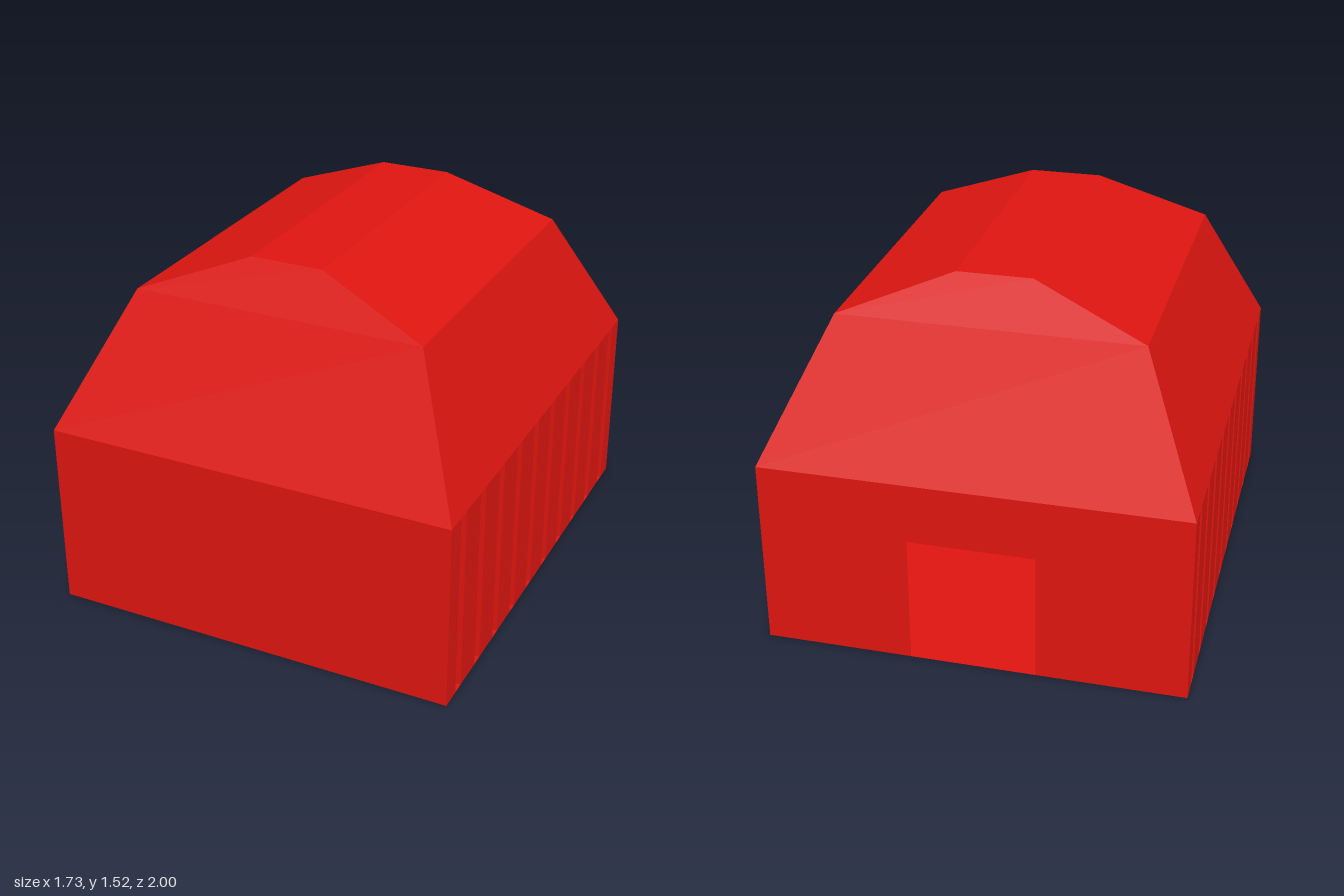
import * as THREE from 'three';

const W = 0.863, D = 1, EAVE = 0.79; // half width, half depth, wall height
const SLOTS = 10, SLOT_GAP = 0.196, SLOT_W = 0.054, SLOT_DEPTH = 0.03;

const red = new THREE.MeshStandardMaterial({ color: 0xdd1510, side: THREE.DoubleSide });

// Flat-shaded geometry from quads, corners counter-clockwise seen from outside
function quadGeometry(quads) {
  const pos = quads.flatMap(([a, b, c, d]) => [a, b, c, a, c, d].flat());
  const geo = new THREE.BufferGeometry();
  geo.setAttribute('position', new THREE.Float32BufferAttribute(pos, 3));
  geo.computeVertexNormals();
  return geo;
}

// Corners of a level rectangle, counter-clockwise from above
const ring = ([w, y, d]) => [[-w, y, d], [w, y, d], [w, y, -d], [-w, y, -d]];

// Faceted hip roof stacked from shrinking rectangles
function roofGeometry() {
  const rings = [[W, EAVE, D], [0.613, 1.343, 0.71], [0.152, 1.523, 0.605]].map(ring);
  const quads = [rings[2]];
  for (let i = 0; i < 2; i++) {
    for (let k = 0; k < 4; k++) {
      const n = (k + 1) % 4;
      quads.push([rings[i][k], rings[i][n], rings[i + 1][n], rings[i + 1][k]]);
    }
  }
  return quadGeometry(quads);
}

// Thin side wall with a row of vertical recesses pressed inwards
function sideWallGeometry() {
  const plan = [[W, D]];
  const quads = [];
  const inner = W - SLOT_DEPTH;
  for (let i = 0; i < SLOTS; i++) {
    const z = ((SLOTS - 1) / 2 - i) * SLOT_GAP;
    const z0 = z + SLOT_W / 2, z1 = z - SLOT_W / 2;
    plan.push([W, z0], [inner, z0], [inner, z1], [W, z1]);
    // Head of the recess
    quads.push([[W, EAVE, z0], [inner, EAVE, z0], [inner, EAVE, z1], [W, EAVE, z1]]);
  }
  plan.push([W, -D]);
  for (let i = 0; i < plan.length - 1; i++) {
    const [xa, za] = plan[i], [xb, zb] = plan[i + 1];
    quads.push([[xa, 0, za], [xb, 0, zb], [xb, EAVE, zb], [xa, EAVE, za]]);
  }
  return quadGeometry(quads);
}

// End wall, optionally with a doorway reaching the ground
function endWallGeometry(doorHalfWidth, doorHeight) {
  const s = new THREE.Shape();
  s.moveTo(-W, 0);
  if (doorHeight) {
    s.lineTo(-doorHalfWidth, 0);
    s.lineTo(-doorHalfWidth, doorHeight);
    s.lineTo(doorHalfWidth, doorHeight);
    s.lineTo(doorHalfWidth, 0);
  }
  s.lineTo(W, 0);
  s.lineTo(W, EAVE);
  s.lineTo(-W, EAVE);
  s.closePath();
  return new THREE.ShapeGeometry(s).translate(0, 0, D);
}

export function createModel() {
  const building = new THREE.Group();
  building.name = 'building';
  const add = (name, geo, turn = 0) => {
    const mesh = new THREE.Mesh(geo, red);
    mesh.name = name;
    mesh.rotation.y = turn;
    building.add(mesh);
  };

  add('roof', roofGeometry());
  add('leftWall', sideWallGeometry());
  add('rightWall', sideWallGeometry(), Math.PI);
  add('frontWall', endWallGeometry());
  add('backWallWithDoorway', endWallGeometry(0.257, 0.54), Math.PI);
  // Floor faces down; its upper side shows through the doorway
  add('floor', quadGeometry([ring([W, 0, D]).reverse()]));

  return building;
}
